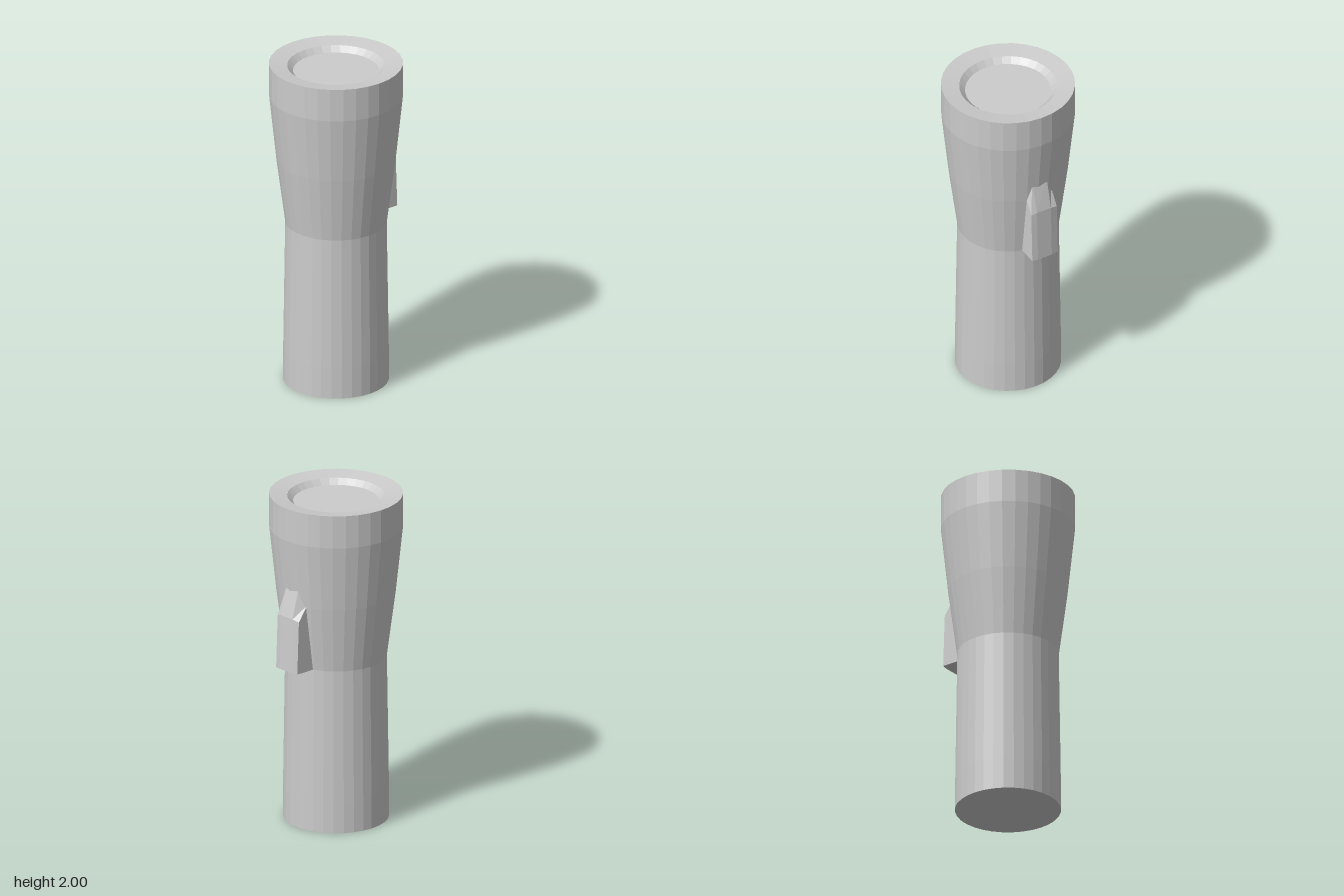
import * as THREE from 'three';

const material = new THREE.MeshStandardMaterial({ color: 0xcccccc, flatShading: true });
const AXIS_X = -0.012; // the side switch shifts the barrel slightly off centre

// Barrel with flared head, sloped rim and shallow lens recess
function makeBody() {
  const profile = [
    [0, 0], [0.309, 0], [0.308, 0.19], [0.296, 1.0], [0.348, 1.4],
    [0.39, 1.8], [0.39, 2.0], [0.284, 1.985], [0.25, 1.953], [0, 1.953],
  ].map(([r, y]) => new THREE.Vector2(r, y));
  const body = new THREE.Mesh(new THREE.LatheGeometry(profile, 32), material);
  body.name = 'body';
  body.position.x = AXIS_X;
  return body;
}

// Switch: four-point side sections skinned from front to back around a curved face
function makeSwitch() {
  const columns = [ // z, outer top y, inner top x, inner top y
    [0.07, 1.32, 0.32, 1.41],
    [0.035, 1.33, 0.33, 1.53],
    [-0.06, 1.33, 0.33, 1.53],
    [-0.105, 1.32, 0.31, 1.41],
  ];
  const loops = columns.map(([z, outerY, innerX, innerY]) => {
    const outerX = AXIS_X + Math.sqrt(0.412 ** 2 - z * z);
    return [[0.25, 1, z], [outerX, 1, z], [outerX - 0.012, outerY, z], [innerX, innerY, z]];
  });
  const positions = [];
  const quad = (a, b, c, d) => positions.push(...a, ...b, ...c, ...a, ...c, ...d);
  for (let i = 0; i < loops.length - 1; i++) {
    for (let j = 0; j < 4; j++) {
      const k = (j + 1) % 4;
      quad(loops[i][j], loops[i + 1][j], loops[i + 1][k], loops[i][k]);
    }
  }
  const [p, q] = [loops[0], loops[loops.length - 1]];
  quad(p[0], p[1], p[2], p[3]);
  quad(q[3], q[2], q[1], q[0]);
  const geometry = new THREE.BufferGeometry();
  geometry.setAttribute('position', new THREE.Float32BufferAttribute(positions, 3));
  geometry.computeVertexNormals();
  const mesh = new THREE.Mesh(geometry, material);
  mesh.name = 'sideSwitch';
  return mesh;
}

export function createModel() {
  const group = new THREE.Group();
  group.name = 'flashlight';
  group.add(makeBody(), makeSwitch());
  return group;
}
